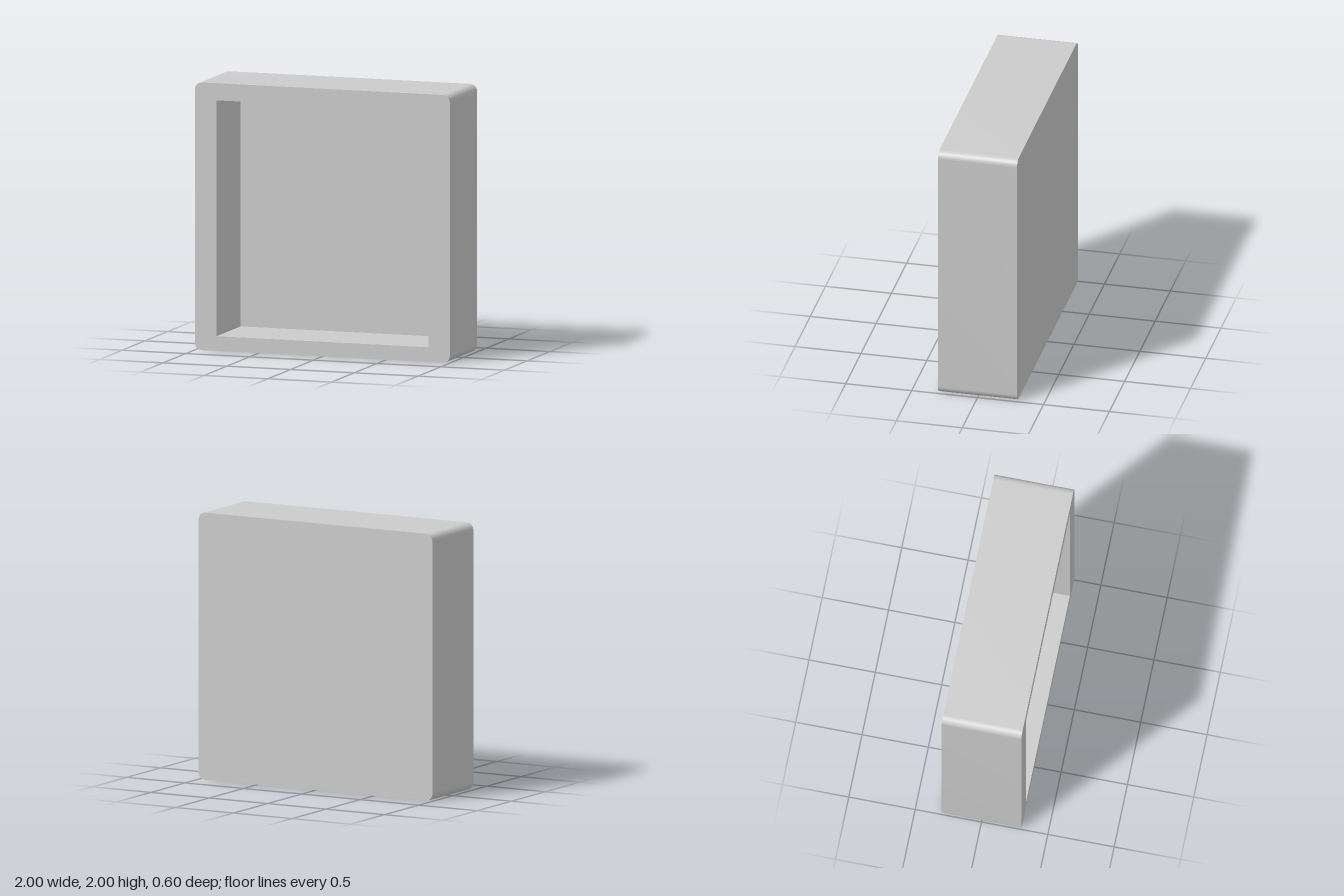
import * as THREE from 'three';
import { mergeGeometries, toCreasedNormals } from 'three/addons/utils/BufferGeometryUtils.js';

const FRONT = 0.3, BACK = -0.3, FLOOR = -0.23, RADIUS = 0.055;

// Rounded square, counter-clockwise, 2 x 2 units standing on y = 0
function roundedSquare(r) {
  const s = new THREE.Shape();
  s.absarc(1 - r, r, r, -Math.PI / 2, 0);
  s.absarc(1 - r, 2 - r, r, 0, Math.PI / 2);
  s.absarc(-1 + r, 2 - r, r, Math.PI / 2, Math.PI);
  s.absarc(-1 + r, r, r, Math.PI, Math.PI * 1.5);
  s.closePath();
  return s;
}

// Band of quads along a closed outline; counter-clockwise outlines face outwards
function wall(points, z0, z1) {
  const pos = [];
  points.forEach((a, i) => {
    const b = points[(i + 1) % points.length];
    if (a.distanceTo(b) < 1e-6) return;
    pos.push(a.x, a.y, z0, b.x, b.y, z0, b.x, b.y, z1);
    pos.push(a.x, a.y, z0, b.x, b.y, z1, a.x, a.y, z1);
  });
  const g = new THREE.BufferGeometry();
  g.setAttribute('position', new THREE.Float32BufferAttribute(pos, 3));
  return g;
}

// Flat face of a shape, as plain triangles
function face(shape) {
  const g = new THREE.ShapeGeometry(shape, 12).toNonIndexed();
  g.deleteAttribute('uv');
  g.deleteAttribute('normal');
  return g;
}

export function createModel() {
  const group = new THREE.Group();
  group.name = 'openBox';
  const material = new THREE.MeshStandardMaterial({ color: 0xcccccc });
  const add = (name, parts) => {
    const merged = mergeGeometries(parts);
    merged.computeVertexNormals();
    const mesh = new THREE.Mesh(toCreasedNormals(merged, Math.PI / 6), material);
    mesh.name = name;
    group.add(mesh);
  };

  // Opening, slightly higher than centre
  const [x0, x1, y0, y1] = [-0.83, 0.832, 0.11, 1.872];
  const opening = [[x0, y0], [x1, y0], [x1, y1], [x0, y1]].map(([x, y]) => new THREE.Vector2(x, y));

  // Outer casing: rounded sides, front rim and closed back
  const outline = roundedSquare(RADIUS);
  const rim = roundedSquare(RADIUS);
  rim.holes.push(new THREE.Path(opening));
  add('casing', [
    wall(outline.getPoints(12), BACK, FRONT),
    face(rim).translate(0, 0, FRONT),
    face(outline).rotateY(Math.PI).translate(0, 0, BACK),
  ]);

  // Recess: inward-facing walls and the floor behind them
  add('recess', [
    wall([...opening].reverse(), FLOOR, FRONT),
    face(new THREE.Shape(opening)).translate(0, 0, FLOOR),
  ]);

  return group;
}
